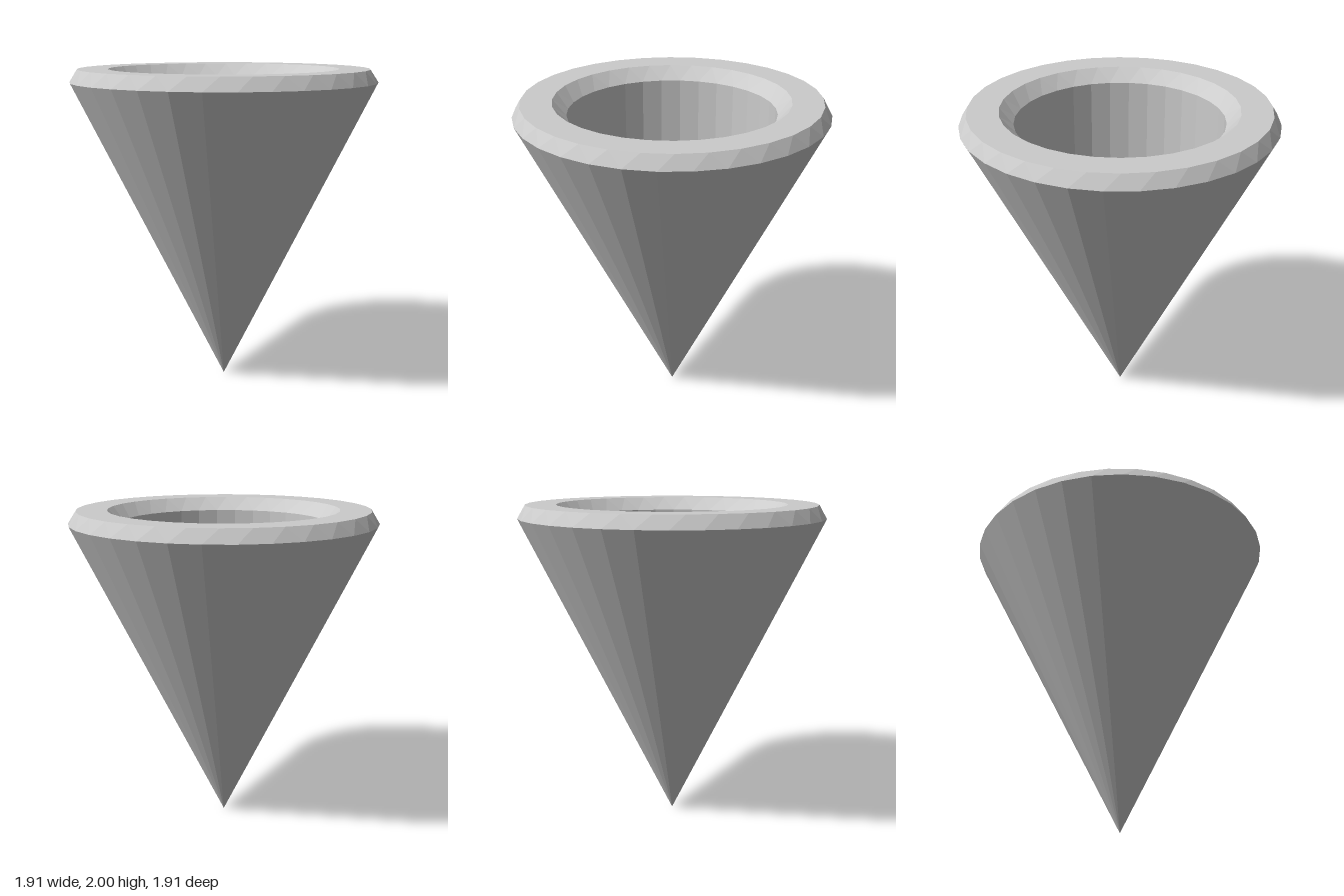
import * as THREE from 'three';

const SIDES = 32;

// Point i of a ring [radius, height, phase], phase in fractions of one side
function ringPoint([r, y, phase], i) {
  const a = ((i + phase) / SIDES) * Math.PI * 2;
  return [r * Math.sin(a), y, r * Math.cos(a)];
}

// Faceted surface of revolution through the rings, ordered from the outside tip inwards
function facetedBand(name, rings, material) {
  const points = [];
  const triangle = (...corners) => corners.forEach((c) => points.push(...c));
  for (let k = 0; k < rings.length - 1; k++) {
    const [a, b] = [rings[k], rings[k + 1]];
    for (let i = 0; i < SIDES; i++) {
      const a0 = ringPoint(a, i), a1 = ringPoint(a, i + 1);
      const b0 = ringPoint(b, i), b1 = ringPoint(b, i + 1);
      // the diagonal follows the half-side twist between the rings
      if (b[2] < a[2]) {
        if (b[0] > 0) triangle(a0, b1, b0);
        if (a[0] > 0) triangle(a0, a1, b1);
      } else {
        if (a[0] > 0) triangle(a0, a1, b0);
        if (b[0] > 0) triangle(a1, b1, b0);
      }
    }
  }
  const geometry = new THREE.BufferGeometry();
  geometry.setAttribute('position', new THREE.Float32BufferAttribute(points, 3));
  geometry.computeVertexNormals();
  const mesh = new THREE.Mesh(geometry, material);
  mesh.name = name;
  return mesh;
}

export function createModel() {
  const model = new THREE.Group();
  model.name = 'hollowCone';
  const grey = new THREE.MeshStandardMaterial({ color: 0xcccccc, flatShading: true });

  const tip = [0, 0, 0];
  const shoulder = [0.955, 1.92, 0];
  const lipOuter = [0.907, 2, 0.5];
  const lipInner = [0.716, 2, 0.5];
  const boreTop = [0.633, 1.92, 0];
  const boreFloor = [0.633, 1.33, 0];
  const floorCentre = [0, 1.33, 0];

  model.add(
    // pointed outer body
    facetedBand('coneBody', [tip, shoulder], grey),
    // flat lip with a bevel on both edges
    facetedBand('bevelledRim', [shoulder, lipOuter, lipInner, boreTop], grey),
    // straight recess with a flat floor
    facetedBand('recess', [boreTop, boreFloor, floorCentre], grey),
  );
  return model;
}
